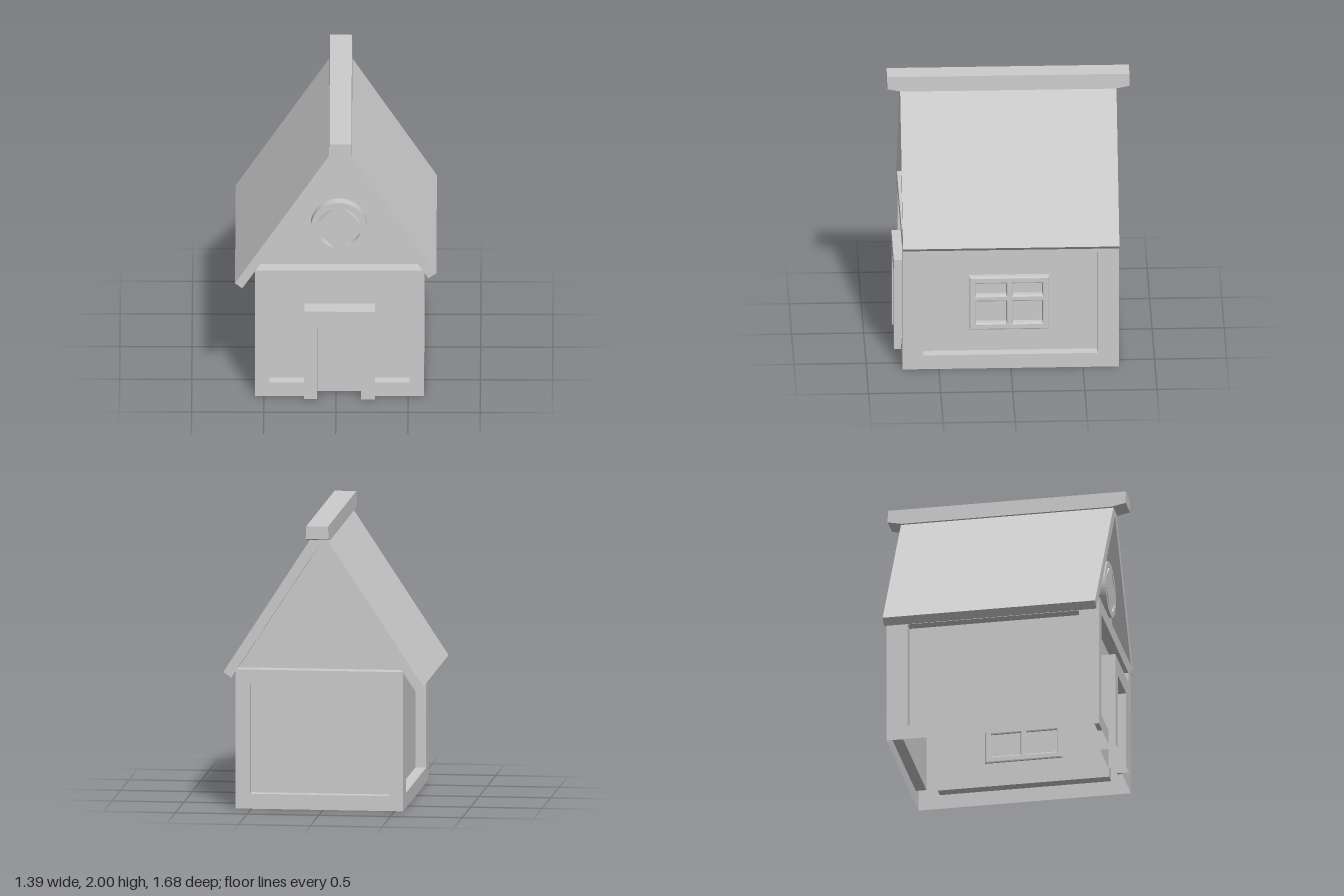
import * as THREE from 'three';

const solid = new THREE.MeshStandardMaterial({ color: 0xcccccc });
const thin = new THREE.MeshStandardMaterial({ color: 0xcccccc, side: THREE.DoubleSide });

const CX = 0.025;                 // middle of the house in x
const HW = 0.585, HD = 0.75;      // half width and half depth of the walls
const EAVE = 0.975, RECESS = 0.075;

const shapeOf = pts => new THREE.Shape(pts.map(p => new THREE.Vector2(...p)));
const rect = (x0, y0, x1, y1) => [[x0, y0], [x1, y0], [x1, y1], [x0, y1]];

function add(parent, name, geometry, material = solid) {
  const mesh = new THREE.Mesh(geometry, material);
  mesh.name = name;
  parent.add(mesh);
  return mesh;
}

// Flat thin face in the xy plane at depth z
function sheet(parent, name, pts, z, hole) {
  const shape = shapeOf(pts);
  if (hole) shape.holes.push(shapeOf(hole));
  return add(parent, name, new THREE.ShapeGeometry(shape).translate(0, 0, z), thin);
}

// Thin strip that follows a path and spans two depths
function ribbon(parent, name, pts, z0, z1) {
  const pos = [];
  for (let i = 0; i + 1 < pts.length; i++) {
    const [a, b] = [pts[i], pts[i + 1]];
    pos.push(...a, z0, ...b, z0, ...b, z1, ...a, z0, ...b, z1, ...a, z1);
  }
  const g = new THREE.BufferGeometry();
  g.setAttribute('position', new THREE.Float32BufferAttribute(pos, 3));
  g.computeVertexNormals();
  return add(parent, name, g, thin);
}

function extrude(parent, name, shape, z0, z1, bevel = 0) {
  const g = new THREE.ExtrudeGeometry(shape, {
    depth: z1 - z0 - bevel, curveSegments: 32, bevelEnabled: bevel > 0,
    bevelSize: bevel, bevelThickness: bevel, bevelOffset: -bevel, bevelSegments: 2,
  });
  return add(parent, name, g.translate(0, 0, z0));
}

// Wall with a sunken panel, facing +z of its own group
function panelWall(name, half, x0, x1) {
  const wall = new THREE.Group();
  wall.name = name;
  const inner = rect(x0, 0.105, x1, 0.875);
  sheet(wall, name + 'Border', rect(-half, 0, half, EAVE), 0, inner);
  sheet(wall, name + 'Panel', inner, -RECESS);
  ribbon(wall, name + 'PanelEdge', [...inner, inner[0]], 0, -RECESS);
  return wall;
}

// Front wall whose panel and lower border stop at the door frame
function frontWall() {
  const wall = new THREE.Group();
  wall.name = 'frontWall';
  const panel = [[-0.22, 0], [-0.22, 0.105], [-0.46, 0.105], [-0.46, 0.875],
    [0.51, 0.875], [0.51, 0.105], [0.27, 0.105], [0.27, 0]];
  const outer = [[-0.22, 0], [-0.22, 0.68], [0.27, 0.68], [0.27, 0]];
  const opening = [[-0.13, 0], [-0.13, 0.56], [0.175, 0.56], [0.175, 0]];
  const back = HD - RECESS, front = 0.8;
  sheet(wall, 'frontBorder', [...panel, [CX + HW, 0], [CX + HW, EAVE], [CX - HW, EAVE], [CX - HW, 0]], HD);
  ribbon(wall, 'frontPanelEdge', panel, HD, back);
  sheet(wall, 'frontPanel', [...panel.slice(1, 7), ...outer.slice(1, 3).reverse()], back);
  sheet(wall, 'doorFrameFace', [...outer, ...[...opening].reverse()], front);
  ribbon(wall, 'doorFrameOutside', outer, front, back);
  ribbon(wall, 'doorFrameInside', opening, front, back);
  sheet(wall, 'door', opening, back);
  return wall;
}

// Four-pane window, in the side wall's own frame
function sideWindow(parent) {
  const shape = shapeOf(rect(-0.285, 0.28, 0.265, 0.68));
  for (const [x0, x1] of [[-0.24, -0.03], [0.015, 0.22]])
    for (const [y0, y1] of [[0.33, 0.495], [0.54, 0.63]])
      shape.holes.push(shapeOf(rect(x0, y0, x1, y1)));
  extrude(parent, 'sideWindowFrame', shape, -RECESS, -0.025, 0.01);
}

// Round gable window with a cross of glazing bars
function roundWindow(parent) {
  const shape = new THREE.Shape().absarc(0, 0, 0.195, 0, Math.PI * 2);
  const r = 0.153, bar = 0.037, t = Math.asin(bar / r);
  for (let i = 0; i < 4; i++) {
    const a = i * Math.PI / 2, c = Math.cos(a), s = Math.sin(a);
    const hole = new THREE.Path();
    hole.moveTo(bar * (c - s), bar * (s + c));
    hole.absarc(0, 0, r, a + t, a + Math.PI / 2 - t);
    hole.closePath();
    shape.holes.push(hole);
  }
  extrude(parent, 'roundWindow', shape, 0.64, 0.72).position.set(0.02, 1.29, 0);
}

// Ridge beam: underside rises slightly at the overhanging ends
function ridgeBeam(parent) {
  const g = new THREE.BoxGeometry(0.16, 0.1, 1.68, 1, 1, 3);
  const p = g.attributes.position;
  for (let i = 0; i < p.count; i++) {
    const end = Math.abs(p.getZ(i)) > 0.5;
    if (!end) p.setZ(i, Math.sign(p.getZ(i)) * 0.74);
    if (p.getY(i) < 0) p.setY(i, end ? -0.04 : -0.06);
    else p.setX(i, p.getX(i) * 0.95);
  }
  const flat = g.toNonIndexed();
  flat.computeVertexNormals();
  add(parent, 'ridgeBeam', flat).position.set(0.03, 1.95, 0);
}

export function createModel() {
  const house = new THREE.Group();
  house.name = 'house';

  // Walls, open at the bottom
  house.add(frontWall());
  const backWall = panelWall('backWall', HW, -0.485, 0.485);
  backWall.position.set(CX, 0, -HD);
  backWall.rotation.y = Math.PI;
  const leftWall = panelWall('leftWall', HD, -0.61, 0.6);
  leftWall.position.x = CX + HW;
  leftWall.rotation.y = Math.PI / 2;
  sideWindow(leftWall);
  const rightWall = panelWall('rightWall', HD, -0.6, 0.61);
  rightWall.position.x = CX - HW;
  rightWall.rotation.y = -Math.PI / 2;
  house.add(backWall, leftWall, rightWall);

  // Set-back gables with a ledge below each
  for (const [side, s] of [['front', 1], ['back', -1]]) {
    sheet(house, side + 'Gable', [[CX - HW, EAVE], [CX + HW, EAVE], [0.03, 1.855]], s * 0.65);
    ribbon(house, side + 'Ledge', [[CX - HW, EAVE], [CX + HW, EAVE]], s * 0.65, s * HD);
  }
  roundWindow(house);

  // Roof slabs, the right one reaching lower
  extrude(house, 'rightRoof', shapeOf([[0.03, 1.85], [0.03, 1.985], [-0.7, 0.875], [-0.65, 0.835]]), -HD, HD);
  extrude(house, 'leftRoof', shapeOf([[0.03, 1.85], [0.64, 0.915], [0.695, 0.955], [0.03, 1.985]]), -HD, HD);
  ridgeBeam(house);
  return house;
}
